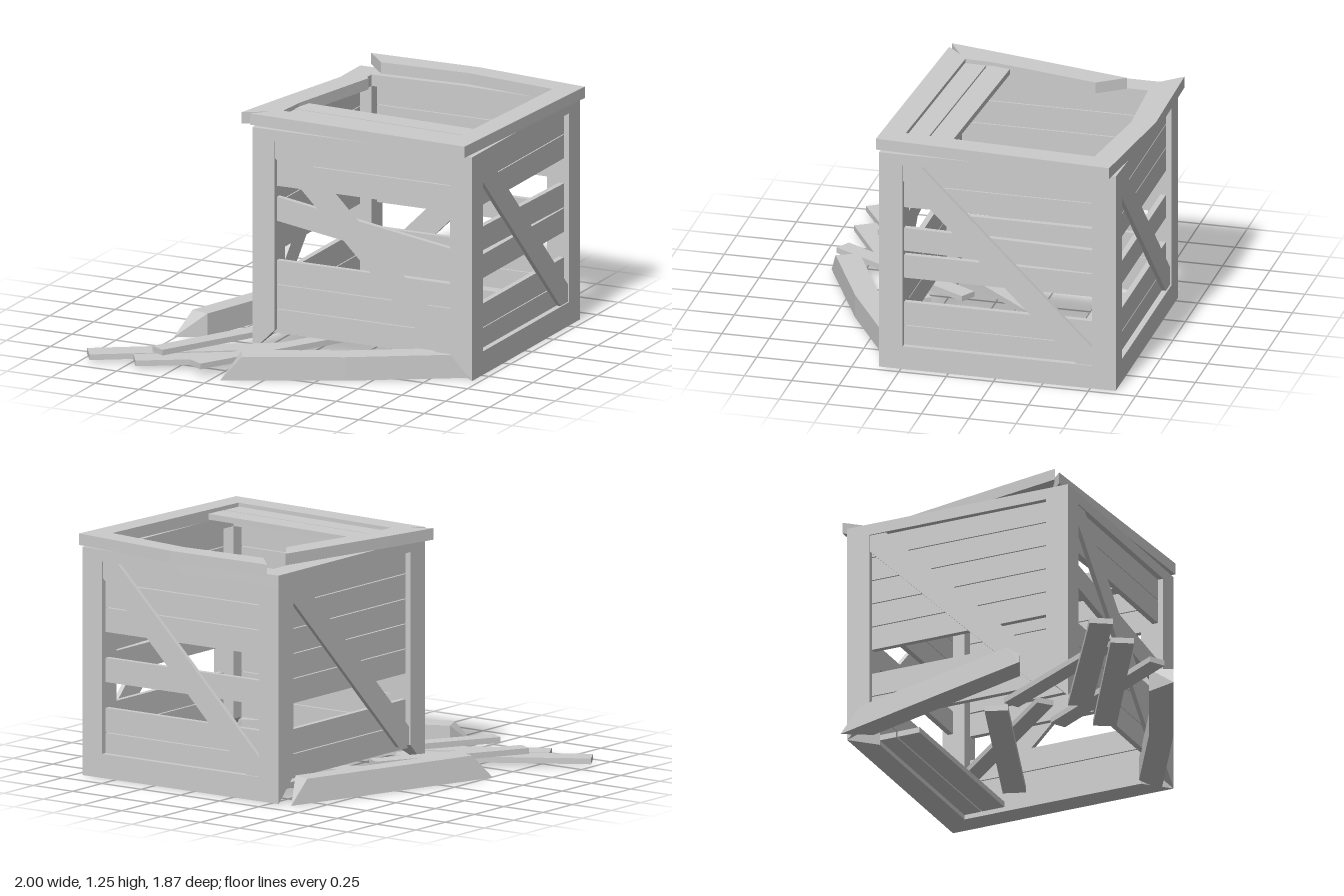
import * as THREE from 'three';

const T = 0.125;                 // frame bar thickness
const CX = 0.335, CZ = -0.26;    // crate centre
const H = 0.625;                 // half of crate side
const X0 = CX - H, X1 = CX + H, Z0 = CZ - H, Z1 = CZ + H;
const material = new THREE.MeshStandardMaterial({ color: 0xcccccc, flatShading: true });

function add(parent, name, geometry) {
  const mesh = new THREE.Mesh(geometry, material);
  mesh.name = name;
  parent.add(mesh);
  return mesh;
}

// Solid through a row of four-cornered sections, turned outward by its volume
function loft(sections) {
  const tris = [];
  const quad = (a, b, c, d) => tris.push([a, b, c], [a, c, d]);
  for (let i = 0; i < sections.length - 1; i++) {
    const s = sections[i], n = sections[i + 1];
    for (let k = 0; k < 4; k++) quad(s[k], s[(k + 1) % 4], n[(k + 1) % 4], n[k]);
  }
  const [a, b, c, d] = sections[0];
  quad(a, d, c, b);
  quad(...sections[sections.length - 1]);
  let volume = 0;
  for (const [p, q, r] of tris) volume += p.dot(q.clone().cross(r));
  if (volume < 0) tris.forEach((t) => t.reverse());
  const geometry = new THREE.BufferGeometry().setFromPoints(tris.flat());
  geometry.computeVertexNormals();
  return geometry;
}

// Flat board from two plan edges, points given as [x, z]
function slab(outer, inner, y0, y1) {
  return loft(outer.map(([x, z], i) => {
    const [u, w] = inner[i];
    return [[x, y0, z], [u, y0, w], [u, y1, w], [x, y1, z]].map((p) => new THREE.Vector3(...p));
  }));
}

// Straight loose plank between two plan points
function plank(a, b, width, y0, y1) {
  const dx = b[0] - a[0], dz = b[1] - a[1], l = Math.hypot(dx, dz);
  const nx = (dz / l) * width / 2, nz = (-dx / l) * width / 2;
  return slab([[a[0] + nx, a[1] + nz], [b[0] + nx, b[1] + nz]],
    [[a[0] - nx, a[1] - nz], [b[0] - nx, b[1] - nz]], y0, y1);
}

// Ground bar with three-way mitred ends through outer plan points a, mid, b;
// lean shifts the top outer edge inward
function mitredBar(a, mid, b, inset = T, lean = 0) {
  const [A, M, B] = [a, mid, b].map(([x, z]) => new THREE.Vector3(x, 0, z));
  const section = (p, from, to, shift) => {
    const d = to.clone().sub(from).normalize();
    const n = new THREE.Vector3(d.z, 0, -d.x);
    return [[0, 0], [T, 0], [T, T], [lean, T]].map(([u, v], k) =>
      p.clone().addScaledVector(n, u).addScaledVector(d, k ? shift : 0).setY(v));
  };
  return loft([section(A, A, M, inset), section(M, A, B, 0), section(B, M, B, -inset)]);
}

// Corner post with a mitred foot
function post(sx, sz) {
  const at = (yOuter, y) => [[0, 0], [T, 0], [T, T], [0, T]].map(([u, v], k) =>
    new THREE.Vector3(CX + sx * (H - u), k ? y : yOuter, CZ + sz * (H - v)));
  return loft([at(0, T), at(1.13, 1.13)]);
}

// Wall infill: planks as [slot, tilt] plus a diagonal brace
function wall(parent, name, angle, planks) {
  const group = new THREE.Group();
  group.name = name;
  group.position.set(CX, 0, CZ);
  group.rotation.y = angle;
  parent.add(group);
  for (const [slot, tilt] of planks) {
    const board = add(group, 'wallPlank', new THREE.BoxGeometry(1.08, 0.126, 0.03));
    board.position.set(0, 1.08 - slot * 0.1305, 0.58);
    board.rotation.z = tilt;
  }
  const shape = new THREE.Shape([
    [-0.5, 1.13], [-0.5, 1.04], [0.415, T], [0.5, T], [0.5, 0.22], [-0.41, 1.13],
  ].map((p) => new THREE.Vector2(...p)));
  const brace = add(group, 'diagonalBrace',
    new THREE.ExtrudeGeometry(shape, { depth: 0.025, bevelEnabled: false }));
  brace.position.z = 0.592;
}

export function createModel() {
  const model = new THREE.Group();
  model.name = 'brokenCrate';

  // Standing frame
  for (const sx of [-1, 1]) for (const sz of [-1, 1]) add(model, 'cornerPost', post(sx, sz));
  add(model, 'backBottomRail', mitredBar([X1, Z0], [CX, Z0], [X0, Z0]));
  add(model, 'rightBottomRail', mitredBar([X1, Z1], [X1, CZ], [X1, Z0]));

  // Top rails, the back one bowed outward
  const a = X0, b = X1, c = X0 + T, d = X1 - T;
  add(model, 'frontTopRail', slab([[a, Z1], [b, Z1]], [[c, Z1 - T], [d, Z1 - T]], 1.13, 1.19));
  add(model, 'backTopRail', slab([[a, Z0], [CX, Z0 - 0.025], [b, Z0]],
    [[c, Z0 + T], [CX, Z0 + T - 0.025], [d, Z0 + T]], 1.13, 1.19));
  for (const [x, u] of [[a, c], [b, d]])
    add(model, 'sideTopRail', slab([[x, Z0], [x, Z1]], [[u, Z0 + T], [u, Z1 - T]], 1.13, 1.19));

  // Walls
  const level = (...slots) => slots.map((s) => [s, 0]);
  wall(model, 'frontWall', 0, [...level(0, 1, 5, 6, 7), [3, -0.15]]);
  wall(model, 'rightWall', Math.PI / 2, [...level(0, 1, 4, 6, 7), [2.92, -0.018]]);
  wall(model, 'backWall', Math.PI, level(0, 1, 2, 4, 6, 7));
  wall(model, 'leftWall', -Math.PI / 2, level(0, 1, 2, 3, 4, 6, 7));

  // Remaining floor planks
  for (const z of [-0.73, -0.597])
    add(model, 'floorPlank', plank([c, z], [d, z], 0.125, 0.025, 0.055));

  // Skewed lid frame
  const lid = new THREE.Group();
  lid.name = 'lid';
  model.add(lid);
  add(lid, 'lidBack', slab([[-0.25, -0.93], [0.36, -0.94], [1.0, -0.86]],
    [[-0.13, -0.8], [0.36, -0.82], [0.87, -0.75]], 1.19, 1.25));
  add(lid, 'lidRight', slab([[1.0, -0.86], [0.93, 0.39]], [[0.87, -0.75], [0.82, 0.26]], 1.19, 1.25));
  add(lid, 'lidFront', slab([[0.93, 0.39], [-0.32, 0.33]], [[0.82, 0.26], [-0.2, 0.21]], 1.19, 1.25));
  add(lid, 'lidLeft', slab([[-0.16, -0.65], [-0.31, 0.04], [-0.37, 0.33]],
    [[-0.06, -0.51], [-0.18, 0.05], [-0.19, 0.22]], 1.19, 1.25));

  // Lid planks still attached at the front
  add(lid, 'lidPlank', plank([-0.18, 0.03], [0.83, 0.08], 0.123, 1.2, 1.23));
  add(lid, 'lidPlank', plank([-0.18, 0.16], [0.82, 0.21], 0.123, 1.2, 1.23));

  // Rails broken off onto the ground
  add(model, 'fallenFrontRail', mitredBar([-0.2, 0.92], [0.375, 0.645], [0.95, 0.3], 0.11));
  add(model, 'fallenLeftRail', mitredBar([-0.37, -0.885], [-0.565, -0.285], [-0.76, 0.315], 0.115, 0.02));

  // Scattered planks: from, to, width, bottom height
  const scattered = [
    [[-0.97, 0.88], [-0.12, 0.35], 0.12, 0.015],
    [[-0.71, 0.875], [0.155, 0.36], 0.12, 0.015],
    [[-0.635, 0.76], [-0.22, 0.01], 0.09, 0.045],
    [[-0.35, 0.9], [0.1, 0.12], 0.09, 0.045],
    [[0.685, -0.405], [-0.25, -0.06], 0.12, 0.015],
    [[0.55, -0.595], [-0.11, 0.15], 0.09, 0.07],
  ];
  for (const [from, to, width, y] of scattered)
    add(model, 'loosePlank', plank(from, to, width, y, y + 0.03));

  return model;
}
